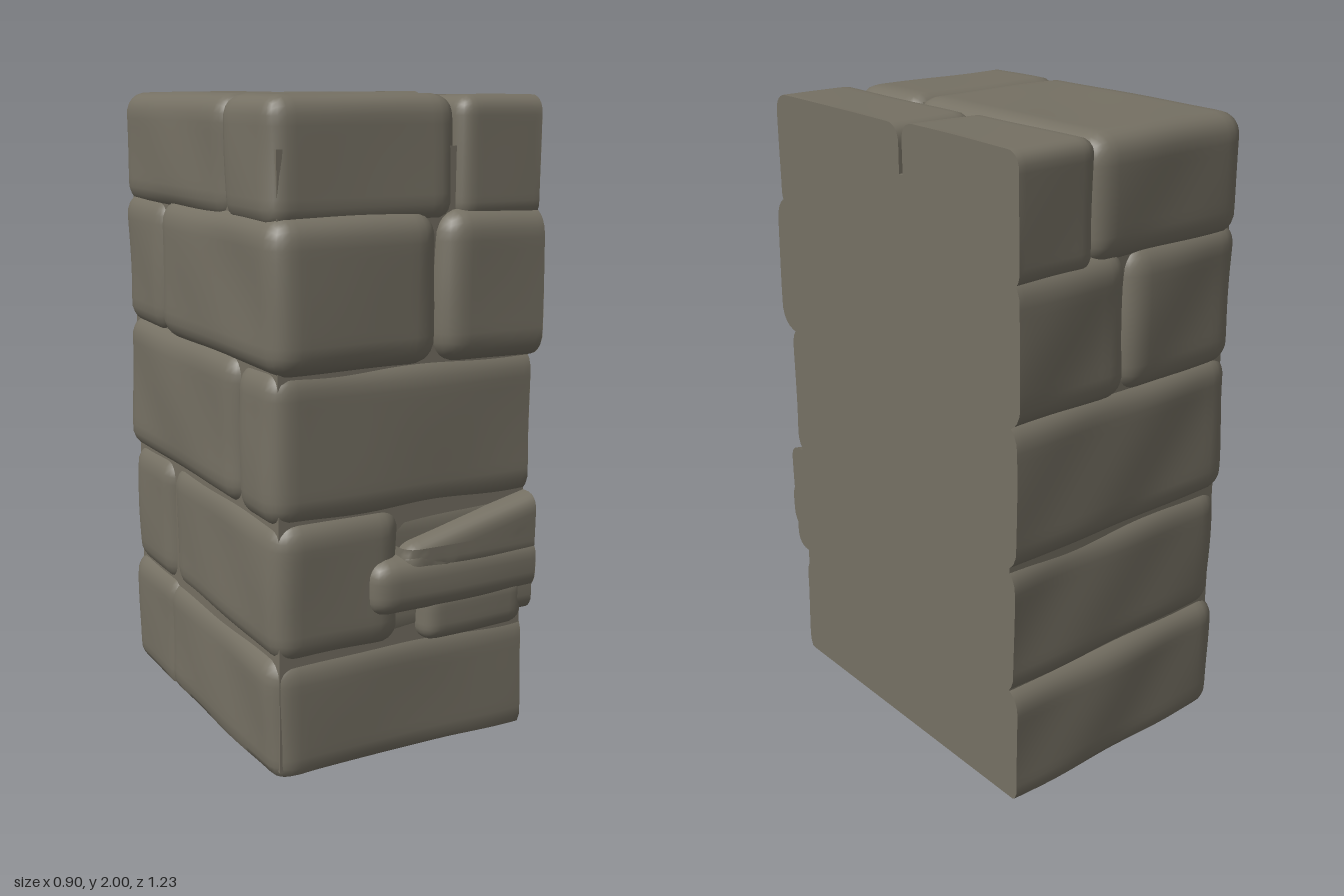
import * as THREE from 'three';
import { toCreasedNormals } from 'three/addons/utils/BufferGeometryUtils.js';

const CUT = 0.445; // flat plane where the wall end is sliced
const OUT = 0.6;   // stones reaching the slice run past it and are flattened back

const stoneMat = new THREE.MeshStandardMaterial({ color: 0x757063 });
stoneMat.name = 'warm grey stone';

// Gentle uneven surface, a smooth function of position
const wave = (a, b, s) => Math.sin(a * 7.3 + s) * Math.cos(b * 5.9 + s * 1.7) + 0.5 * Math.sin(a * 13 + b * 11 + s);

// Rounded, slightly uneven block between two corners; tilt(v) may reshape it
function stone(name, [x0, x1, y0, y1, z0, z1], r = 0.07, seed = 1, amp = 0.005, tilt = null) {
  const size = new THREE.Vector3(x1 - x0, y1 - y0, z1 - z0);
  const centre = new THREE.Vector3((x0 + x1) / 2, (y0 + y1) / 2, (z0 + z1) / 2);
  const seg = (d) => Math.max(8, Math.ceil(d / (r > 0.05 ? 0.03 : 0.02)));
  const geo = new THREE.BoxGeometry(size.x, size.y, size.z, seg(size.x), seg(size.y), seg(size.z));
  const inner = size.clone().multiplyScalar(0.5).subScalar(r);
  const low = inner.clone().negate();
  const p = geo.attributes.position;
  const v = new THREE.Vector3(), c = new THREE.Vector3(), n = new THREE.Vector3();
  for (let i = 0; i < p.count; i++) {
    v.fromBufferAttribute(p, i);
    c.copy(v).clamp(low, inner);
    n.copy(v).sub(c).normalize();
    v.copy(c).addScaledVector(n, r).add(centre);
    const w = amp * (n.x * wave(v.y, v.z, seed) + n.y * 0.5 * wave(v.x, v.z, seed) + n.z * wave(v.x, v.y, seed));
    v.addScaledVector(n, w);
    if (tilt) tilt(v);
    v.x = Math.min(v.x, CUT);
    v.y = THREE.MathUtils.clamp(v.y, 0, 2);
    p.setXYZ(i, v.x, v.y, v.z);
  }
  const mesh = new THREE.Mesh(toCreasedNormals(geo, 0.7), stoneMat);
  mesh.name = name;
  return mesh;
}

function box(name, x0, x1, y0, y1, z0, z1) {
  const geo = new THREE.BoxGeometry(x1 - x0, y1 - y0, z1 - z0);
  geo.translate((x0 + x1) / 2, (y0 + y1) / 2, (z0 + z1) / 2);
  const mesh = new THREE.Mesh(geo, stoneMat);
  mesh.name = name;
  return mesh;
}

export function createModel() {
  const model = new THREE.Group();
  model.name = 'stoneWallEnd';

  // Mortar core closes the joints behind the stones
  model.add(box('mortarCore', -0.41, CUT, 0.02, 1.85, -0.57, 0.53));
  model.add(box('topCore', -0.37, 0.13, 1.8, 1.975, -0.5, 0.46));

  // Each course: stones as [x0, x1, y0, y1, z0, z1]
  const courses = {
    baseCourse: [
      [-0.44, OUT, -0.03, 0.39, -0.61, -0.2],
      [-0.435, OUT, -0.03, 0.38, -0.3, 0.545],
    ],
    secondCourse: [
      [-0.435, OUT, 0.36, 0.8, -0.59, -0.23],
      [-0.43, 0.0, 0.36, 0.8, -0.25, 0.56],
      [-0.2, OUT, 0.36, 0.8, -0.3, 0.535],
    ],
    thirdCourse: [
      [-0.445, OUT, 0.78, 1.25, -0.6, 0.3],
      [-0.44, OUT, 0.77, 1.24, 0.28, 0.55],
    ],
    fourthCourse: [
      [-0.44, 0.04, 1.22, 1.67, -0.605, -0.25],
      [0.02, OUT, 1.22, 1.67, -0.61, -0.2],
      [-0.45, 0.1, 1.22, 1.67, -0.265, 0.585],
      [0.1, OUT, 1.22, 1.67, -0.25, 0.598],
    ],
  };
  let seed = 1;
  for (const [name, stones] of Object.entries(courses)) {
    const course = new THREE.Group();
    course.name = name;
    stones.forEach((s, i) => course.add(stone(`${name}Stone${i + 1}`, s, 0.075, seed++)));
    model.add(course);
  }

  // Top course: long stone along the end, two stones meeting at a narrow slot
  const top = new THREE.Group();
  top.name = 'topCourse';
  const lean = (v) => { if (v.z > 0) v.z += 0.06 * Math.max(0, 1.95 - v.y) * (v.z / 0.53); };
  top.add(
    stone('longCapStone', [-0.435, 0.178, 1.63, 1.998, -0.605, 0.23], 0.07, 21, 0.004),
    stone('frontCapStone', [-0.435, 0.172, 1.63, 1.995, 0.2, 0.53], 0.06, 22, 0.004, lean),
    stone('backCapStone', [0.165, OUT, 1.63, 1.998, -0.607, -0.105], 0.045, 23, 0.003),
    stone('rightCapStone', [0.165, OUT, 1.63, 1.992, -0.085, 0.56], 0.05, 24, 0.003),
    box('capJoint', 0.1, 0.2, 1.8, 1.94, -0.5, 0.48),
  );
  model.add(top);

  // Broken ledges jutting from the front of the second course
  const ledges = new THREE.Group();
  ledges.name = 'brokenLedges';
  const slope = (v) => { v.y += 0.12 * (Math.min(v.x, CUT) - CUT) * (v.y > 0.68 ? 2 : 0); };
  ledges.add(
    stone('upperLedge', [-0.02, OUT, 0.58, 0.785, 0.4, 0.598], 0.045, 31, 0.004, slope),
    stone('middleLedge', [-0.13, OUT, 0.47, 0.645, 0.4, 0.607], 0.06, 32, 0.004),
    stone('lowerLedge', [0.05, 0.42, 0.36, 0.53, 0.4, 0.592], 0.05, 33, 0.004),
    stone('ledgeEnd', [0.3, OUT, 0.4, 0.55, 0.4, 0.588], 0.05, 34, 0.003),
  );
  model.add(ledges);
  return model;
}
